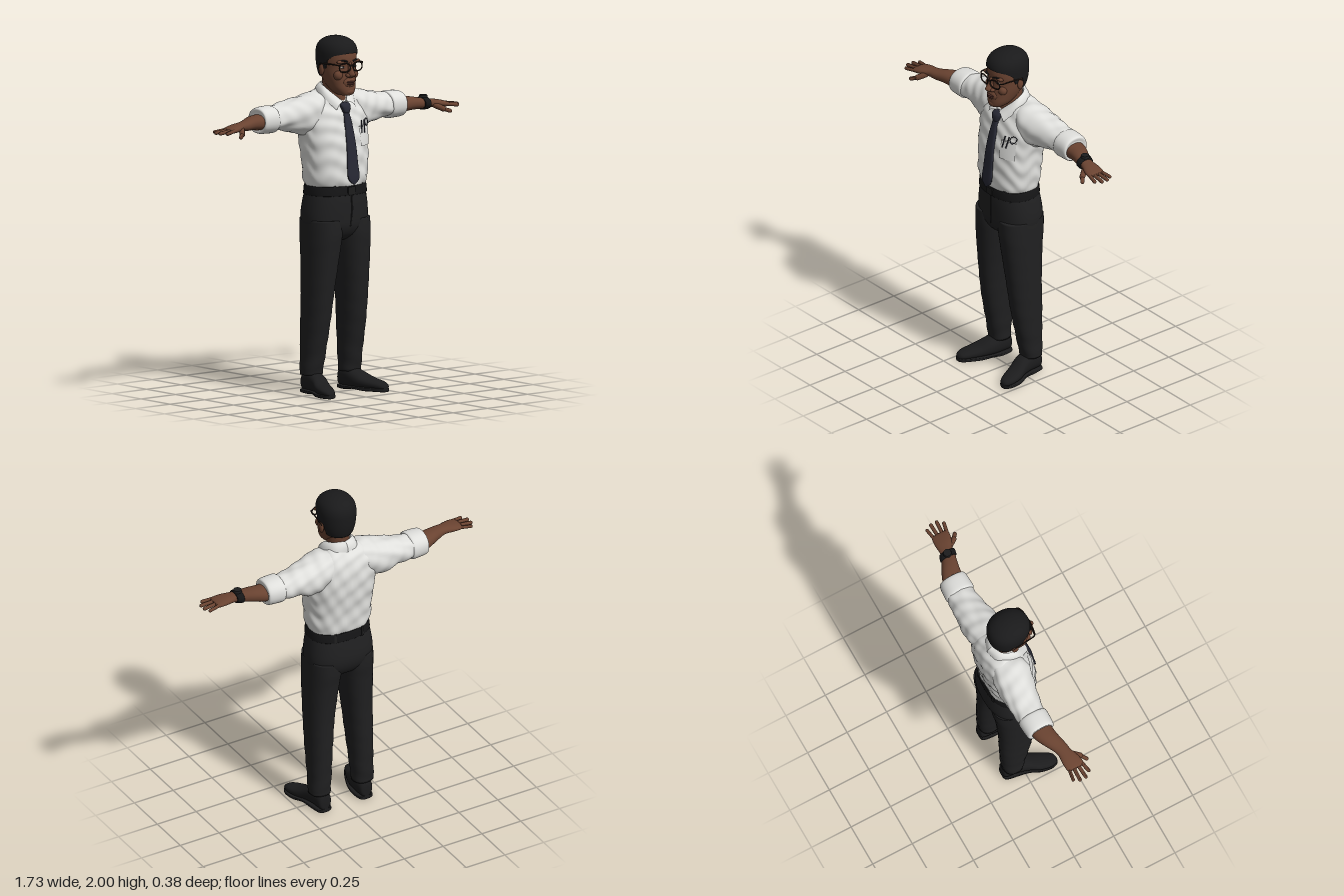
import * as THREE from 'three';

const V = (x, y, z) => new THREE.Vector3(x, y, z);
const mat = (name, color, side = THREE.FrontSide) => {
  const m = new THREE.MeshStandardMaterial({ color, side });
  m.name = name;
  return m;
};

// Row of a loft at fractional index u, smoothly interpolated
function rowAt(rows, u) {
  const i = Math.min(Math.floor(u), rows.length - 2), f = u - i;
  const p = k => rows[Math.max(0, Math.min(rows.length - 1, k))];
  return rows[0].map((_, c) => {
    const a = p(i - 1)[c], b = p(i)[c], d = p(i + 1)[c], e = p(i + 2)[c];
    return b + 0.5 * f * (d - a + f * (2 * a - 5 * b + 4 * d - e + f * (3 * (b - d) + e - a)));
  });
}

// Superellipse loft; row = [t, min1, max1, min2, max2], t ascending along the axis
function loft(axis, rows, { exp = 2, n = 40, sub = 5, warp } = {}) {
  const pos = [], idx = [], steps = (rows.length - 1) * sub;
  const put = (t, a, b) => pos.push(...(axis === 'x' ? [t, a, b] : axis === 'y' ? [a, t, b] : [a, b, t]));
  const tri = (a, b, c) => (axis === 'y' ? idx.push(a, c, b) : idx.push(a, b, c));
  const bend = v => Math.sign(v) * Math.abs(v) ** (2 / exp);
  for (let j = 0; j <= steps; j++) {
    const [t, a0, a1, b0, b1] = rowAt(rows, j / sub);
    for (let i = 0; i < n; i++) {
      const w = (i / n) * Math.PI * 2;
      put(t, (a0 + a1) / 2 + (a1 - a0) / 2 * bend(Math.cos(w)), (b0 + b1) / 2 + (b1 - b0) / 2 * bend(Math.sin(w)));
      if (j === steps) continue;
      const p = j * n + i, q = j * n + (i + 1) % n;
      tri(p, q, q + n);
      tri(p, q + n, p + n);
    }
  }
  [rows[0], rows[rows.length - 1]].forEach(([t, a0, a1, b0, b1], end) => {
    const c = pos.length / 3, o = end ? steps * n : 0;
    put(t, (a0 + a1) / 2, (b0 + b1) / 2);
    for (let i = 0; i < n; i++) {
      const p = o + i, q = o + (i + 1) % n;
      end ? tri(c, p, q) : tri(c, q, p);
    }
  });
  const g = new THREE.BufferGeometry();
  g.setAttribute('position', new THREE.Float32BufferAttribute(pos, 3));
  g.setIndex(idx);
  g.computeVertexNormals();
  if (warp) {
    const P = g.attributes.position, N = g.attributes.normal;
    for (let i = 0; i < P.count; i++) {
      const p = V().fromBufferAttribute(P, i);
      warp(p, V().fromBufferAttribute(N, i));
      P.setXYZ(i, p.x, p.y, p.z);
    }
    g.computeVertexNormals();
  }
  return g;
}

// Open sheet from a function of (u, v)
function sheet(fn, nu = 16, nv = 6) {
  const g = new THREE.PlaneGeometry(1, 1, nu, nv), P = g.attributes.position;
  for (let i = 0; i < P.count; i++) {
    const p = fn(P.getX(i) + 0.5, P.getY(i) + 0.5);
    P.setXYZ(i, p.x, p.y, p.z);
  }
  g.computeVertexNormals();
  return g;
}

function mirrored(geo) {
  const g = geo.clone().scale(-1, 1, 1), a = g.index.array;
  for (let i = 0; i < a.length; i += 3) [a[i], a[i + 1]] = [a[i + 1], a[i]];
  g.computeVertexNormals();
  return g;
}

const ball = (x, y, z, rx, ry, rz) => new THREE.SphereGeometry(1, 24, 16).scale(rx, ry, rz).translate(x, y, z);
const tube = (pts, r, closed = false) =>
  new THREE.TubeGeometry(new THREE.CatmullRomCurve3(pts, closed), 32, r, 8, closed);
function finger(a, b, r) {
  const d = b.clone().sub(a), g = new THREE.CapsuleGeometry(r, d.length(), 6, 12);
  g.applyQuaternion(new THREE.Quaternion().setFromUnitVectors(V(0, 1, 0), d.normalize()));
  return g.translate((a.x + b.x) / 2, (a.y + b.y) / 2, (a.z + b.z) / 2);
}

export function createModel() {
  const model = new THREE.Group();
  model.name = 'officeMan';
  const skin = mat('brown skin', 0x6a4331), lip = mat('lips', 0x53302a), hair = mat('black hair', 0x1a1a1b);
  const shirt = mat('white shirt', 0xdfdfdc, THREE.DoubleSide), cloth = mat('charcoal trousers', 0x202021);
  const tieMat = mat('navy tie', 0x272834), leather = mat('black leather', 0x1c1c1d), belt = mat('belt black', 0x161617);
  const frame = mat('spectacle frame', 0x241a15), white = mat('eye white', 0xb9b0a8);
  const add = (name, geo, m) => {
    const mesh = new THREE.Mesh(geo, m);
    mesh.name = name;
    model.add(mesh);
  };
  const pair = (name, geo, m) => {
    add(name + 'Left', geo, m);
    add(name + 'Right', mirrored(geo), m);
  };

  // Shirt body and sleeves, with soft cloth folds
  const folds = (p, n) => p.addScaledVector(n, 0.0028 *
    (Math.sin(p.y * 62 + p.x * 34 + Math.sin(p.z * 40) * 2) + 0.7 * Math.sin(p.x * 71 - p.y * 38 + p.z * 30)));
  const torso = [
    [1.16, -0.172, 0.172, -0.146, 0.112], [1.2, -0.187, 0.187, -0.157, 0.124], [1.3, -0.195, 0.195, -0.165, 0.124],
    [1.4, -0.203, 0.203, -0.178, 0.116], [1.48, -0.213, 0.213, -0.185, 0.1], [1.56, -0.212, 0.212, -0.184, 0.08],
    [1.62, -0.2, 0.2, -0.172, 0.052], [1.66, -0.16, 0.16, -0.155, 0.032], [1.69, -0.1, 0.1, -0.13, 0.01],
    [1.71, -0.065, 0.065, -0.105, -0.01]];
  add('shirtBody', loft('y', torso, { exp: 2.4, n: 72, sub: 8, warp: folds }), shirt);
  pair('sleeve', loft('x', [
    [0.06, 1.54, 1.69, -0.15, 0.01], [0.14, 1.48, 1.688, -0.172, 0.045], [0.21, 1.458, 1.672, -0.176, 0.035],
    [0.3, 1.483, 1.652, -0.172, 0.012], [0.38, 1.495, 1.634, -0.164, 0.002], [0.44, 1.5, 1.628, -0.158, -0.003]],
    { exp: 2.2, n: 48, sub: 8, warp: folds }), shirt);
  pair('rolledCuff', loft('x', [
    [0.41, 1.5, 1.625, -0.155, -0.005], [0.418, 1.486, 1.637, -0.166, 0.006], [0.46, 1.486, 1.638, -0.165, 0.006],
    [0.5, 1.488, 1.634, -0.16, 0.004], [0.514, 1.495, 1.625, -0.152, -0.003], [0.51, 1.512, 1.606, -0.135, -0.016]],
    { exp: 2.2 }), shirt);

  // Collar: folded flap outside, stand inside
  const top = new THREE.CatmullRomCurve3([V(0, 1.742, -0.105), V(0.055, 1.735, -0.075), V(0.076, 1.715, -0.01), V(0.012, 1.638, 0.066)]);
  const low = new THREE.CatmullRomCurve3([V(0, 1.69, -0.14), V(0.08, 1.685, -0.105), V(0.108, 1.662, 0), V(0.068, 1.595, 0.08)]);
  const foot = new THREE.CatmullRomCurve3([V(0, 1.66, -0.085), V(0.05, 1.66, -0.06), V(0.058, 1.64, 0), V(0.01, 1.61, 0.05)]);
  const between = (c, out) => sheet((u, v) =>
    top.getPoint(u).lerp(c.getPoint(u), v).add(V(u * out, out, out * (2 * u - 1)).multiplyScalar(Math.sin(v * Math.PI))));
  pair('collarFlap', between(low, 0.008), shirt);
  pair('collarStand', between(foot, 0), shirt);

  // Breast pocket hugging the chest, with pens
  const chestZ = (x, y) => {
    const i = torso.findIndex(r => r[0] > y) - 1;
    const [, , hx, zb, zf] = rowAt(torso, i + (y - torso[i][0]) / (torso[i + 1][0] - torso[i][0]));
    return (zf + zb) / 2 + (zf - zb) / 2 * (1 - (Math.abs(x) / hx) ** 2.4) ** (1 / 2.4);
  };
  const onChest = (x, y, lift) => V(x, y, chestZ(x, y) + lift);
  add('breastPocket', sheet((u, v) => onChest(0.075 + u * 0.09, 1.385 + v * 0.11, 0.007)), shirt);
  add('pocketHem', tube([0.075, 0.105, 0.135, 0.165].map(x => onChest(x, 1.492, 0.006)), 0.003), shirt);
  for (const x of [0.09, 0.115]) add('penClip', tube([0.455, 0.49, 0.525].map(y => onChest(x + (y - 0.455) * 0.15, 1 + y, 0.011)), 0.0035), tieMat);
  add('pocketLoop', tube([[0.14, 1.49], [0.132, 1.515], [0.148, 1.53], [0.166, 1.52], [0.156, 1.495]]
    .map(([x, y]) => onChest(x, y, 0.01)), 0.0025, true), tieMat);

  // Tie
  add('tieBlade', loft('y', [
    [1.18, -0.004, 0.004, 0.143, 0.152], [1.215, -0.039, 0.039, 0.136, 0.153], [1.3, -0.037, 0.037, 0.124, 0.143],
    [1.4, -0.032, 0.032, 0.113, 0.132], [1.5, -0.026, 0.026, 0.09, 0.112], [1.585, -0.017, 0.017, 0.065, 0.088]], { exp: 3 }), tieMat);
  add('tieKnot', loft('y', [
    [1.57, -0.015, 0.015, 0.066, 0.088], [1.585, -0.022, 0.022, 0.06, 0.095], [1.615, -0.032, 0.032, 0.05, 0.09],
    [1.632, -0.027, 0.027, 0.045, 0.07]], { exp: 2.6 }), tieMat);

  // Trousers, belt and shoes
  add('trouserSeat', loft('y', [
    [0.86, -0.1, 0.1, -0.09, 0.05], [0.89, -0.17, 0.17, -0.13, 0.09], [0.94, -0.195, 0.195, -0.16, 0.115],
    [1.0, -0.199, 0.199, -0.17, 0.12], [1.08, -0.189, 0.189, -0.162, 0.12], [1.15, -0.174, 0.174, -0.148, 0.114]], { exp: 2.4 }), cloth);
  pair('trouserLeg', loft('y', [
    [0.105, 0.078, 0.2, -0.118, 0.002], [0.2, 0.072, 0.198, -0.122, 0.02], [0.4, 0.06, 0.199, -0.127, 0.06],
    [0.6, 0.043, 0.2, -0.128, 0.086], [0.8, 0.016, 0.201, -0.14, 0.108], [0.9, 0.002, 0.2, -0.153, 0.117],
    [0.98, 0.002, 0.197, -0.155, 0.115]],
    { exp: 2.3, warp: (p, n) => p.addScaledVector(n, 0.0022 * Math.sin(p.y * 55 + p.x * 30) * Math.max(0, 1 - p.y)) }), cloth);
  add('flySeam', tube([V(0.004, 1.12, 0.12), V(0.006, 1.03, 0.122), V(0, 0.94, 0.115)], 0.004), cloth);
  pair('slantPocket', tube([V(0.13, 1.115, 0.085), V(0.16, 1.05, 0.062), V(0.186, 0.98, 0.025)], 0.004), cloth);
  add('belt', loft('y', [[1.118, -0.18, 0.18, -0.154, 0.119], [1.122, -0.185, 0.185, -0.158, 0.123],
    [1.165, -0.181, 0.181, -0.155, 0.121], [1.17, -0.176, 0.176, -0.15, 0.116]], { exp: 2.4 }), belt);
  add('beltBuckle', new THREE.BoxGeometry(0.05, 0.042, 0.012).translate(0, 1.144, 0.122), leather);
  const loop = new THREE.BoxGeometry(0.014, 0.06, 0.014);
  pair('beltLoopFront', loop.clone().rotateY(0.35).translate(0.1, 1.145, 0.098), cloth);
  pair('beltLoopBack', loop.clone().rotateY(-0.3).translate(0.085, 1.145, -0.145), cloth);
  const shoe = [
    [-0.122, 0.115, 0.15, 0.02, 0.08], [-0.108, 0.094, 0.172, 0.012, 0.115], [-0.04, 0.086, 0.185, 0.012, 0.128],
    [0.02, 0.092, 0.2, 0.012, 0.108], [0.08, 0.115, 0.225, 0.012, 0.076], [0.14, 0.142, 0.235, 0.012, 0.06],
    [0.178, 0.165, 0.225, 0.012, 0.046], [0.19, 0.187, 0.208, 0.015, 0.03]];
  pair('shoe', loft('z', shoe, { exp: 2.3 }), leather);
  pair('shoeSole', loft('z', shoe.map(([z, a, b]) => [z, a - 0.003, b + 0.003, z > -0.03 && z < 0.05 ? 0.008 : 0, 0.022]), { exp: 5 }), leather);

  // Forearms, hands and watch
  pair('forearm', loft('x', [
    [0.44, 1.51, 1.6, -0.137, -0.013], [0.52, 1.511, 1.597, -0.132, -0.012], [0.58, 1.519, 1.593, -0.108, -0.004],
    [0.64, 1.523, 1.582, -0.075, 0.01], [0.68, 1.528, 1.576, -0.062, 0.016], [0.73, 1.526, 1.569, -0.064, 0.036],
    [0.775, 1.525, 1.558, -0.06, 0.044], [0.79, 1.534, 1.55, -0.048, 0.034]], { exp: 2.2 }), skin);
  const tips = [[-0.046, 0.84, -0.056, 0.0095], [-0.02, 0.857, -0.023, 0.0105], [0.007, 0.857, 0.014, 0.0105], [0.032, 0.832, 0.046, 0.0105]];
  tips.forEach(([z0, x, z, r]) => pair('finger', finger(V(0.77, 1.542, z0), V(x, 1.534, z), r), skin));
  pair('thumbBase', finger(V(0.7, 1.54, 0.012), V(0.728, 1.522, 0.05), 0.016), skin);
  pair('thumb', finger(V(0.728, 1.522, 0.05), V(0.757, 1.51, 0.073), 0.0115), skin);
  add('watchStrap', loft('x', [[0.632, 1.52, 1.587, -0.082, 0.014], [0.638, 1.516, 1.591, -0.084, 0.018],
    [0.664, 1.518, 1.588, -0.076, 0.022], [0.67, 1.522, 1.583, -0.072, 0.019]], { sub: 3 }), belt);
  add('watchCase', new THREE.CylinderGeometry(0.022, 0.025, 0.014, 24).translate(0.651, 1.592, -0.032), leather);

  // Neck and head
  add('neck', loft('y', [[1.58, -0.06, 0.06, -0.09, 0.045], [1.66, -0.061, 0.061, -0.09, 0.044],
    [1.72, -0.063, 0.063, -0.094, 0.044], [1.79, -0.066, 0.066, -0.098, 0.05]]), skin);
  add('head', loft('y', [
    [1.674, -0.022, 0.022, 0.05, 0.1], [1.682, -0.045, 0.045, 0.01, 0.116], [1.71, -0.067, 0.067, -0.03, 0.119],
    [1.745, -0.08, 0.08, -0.065, 0.115], [1.785, -0.09, 0.09, -0.095, 0.111], [1.83, -0.095, 0.095, -0.11, 0.108],
    [1.88, -0.097, 0.097, -0.115, 0.114], [1.93, -0.092, 0.092, -0.11, 0.102], [1.97, -0.06, 0.06, -0.07, 0.06]], { exp: 2.25, n: 56 }), skin);
  add('nose', loft('y', [[1.776, -0.012, 0.012, 0.09, 0.122], [1.786, -0.021, 0.021, 0.085, 0.145],
    [1.8, -0.019, 0.019, 0.085, 0.152], [1.825, -0.012, 0.012, 0.085, 0.135], [1.862, -0.013, 0.013, 0.08, 0.116]], { n: 24 }), skin);
  pair('nostril', ball(0.02, 1.79, 0.118, 0.012, 0.011, 0.015), skin);
  add('muzzle', ball(0, 1.748, 0.1, 0.042, 0.034, 0.024), skin);
  add('chin', ball(0, 1.697, 0.1, 0.032, 0.02, 0.022), skin);
  add('upperLip', ball(0, 1.752, 0.115, 0.029, 0.0065, 0.016), lip);
  add('lowerLip', ball(0, 1.741, 0.115, 0.025, 0.0075, 0.015), lip);
  pair('cheek', ball(0.053, 1.79, 0.076, 0.03, 0.03, 0.026), skin);
  pair('brow', ball(0.045, 1.866, 0.096, 0.038, 0.011, 0.016), skin);
  pair('eyebrow', tube([V(0.018, 1.866, 0.113), V(0.045, 1.874, 0.11), V(0.074, 1.866, 0.09)], 0.0048), hair);
  pair('eye', ball(0.043, 1.836, 0.097, 0.017, 0.007, 0.008), white);
  pair('iris', ball(0.043, 1.836, 0.103, 0.007, 0.0068, 0.004), hair);
  pair('ear', ball(0.101, 1.818, -0.012, 0.011, 0.034, 0.02).rotateY(0.03), skin);

  // Cropped hair, trimmed along a hairline that varies from brow to nape
  const line = [[-1, 1.77], [-0.4, 1.775], [-0.24, 1.85], [0.02, 1.855], [0.1, 1.822], [0.28, 1.825], [0.38, 1.872], [0.7, 1.9], [1.01, 1.912]];
  const trim = p => {
    const f = (p.z + 0.008) / Math.hypot(p.x, p.z + 0.008, 1e-6);
    const i = Math.max(1, line.findIndex(l => l[0] > f)), [a, ya] = line[i - 1], [b, yb] = line[i];
    p.y = Math.max(p.y, ya + (yb - ya) * (f - a) / (b - a));
  };
  add('hair', loft('y', [
    [1.75, -0.07, 0.07, -0.095, 0.08], [1.785, -0.09, 0.09, -0.113, 0.1], [1.83, -0.101, 0.101, -0.124, 0.11],
    [1.88, -0.106, 0.106, -0.128, 0.117], [1.925, -0.105, 0.105, -0.126, 0.117], [1.96, -0.092, 0.092, -0.111, 0.1],
    [1.985, -0.064, 0.064, -0.08, 0.066], [1.997, -0.03, 0.03, -0.042, 0.028], [2, -0.004, 0.004, -0.012, -0.004]],
    { exp: 2.15, n: 96, sub: 8, warp: trim }), hair);

  // Spectacles
  const rim = [];
  for (let i = 0; i < 16; i++) {
    const a = i / 16 * Math.PI * 2, c = Math.cos(a), s = Math.sin(a);
    rim.push(V(0.046 + 0.036 * Math.sign(c) * Math.abs(c) ** 0.8, 1.836 + 0.024 * Math.sign(s) * Math.abs(s) ** 0.8, 0.123 - 0.005 * c));
  }
  pair('lensRim', tube(rim, 0.0038, true), frame);
  pair('templeArm', tube([V(0.08, 1.85, 0.117), V(0.094, 1.854, 0.108), V(0.101, 1.854, 0.05), V(0.106, 1.85, -0.01), V(0.104, 1.835, -0.03)], 0.0038), frame);
  add('bridge', tube([V(-0.013, 1.842, 0.127), V(0, 1.847, 0.13), V(0.013, 1.842, 0.127)], 0.0038), frame);
  return model;
}
